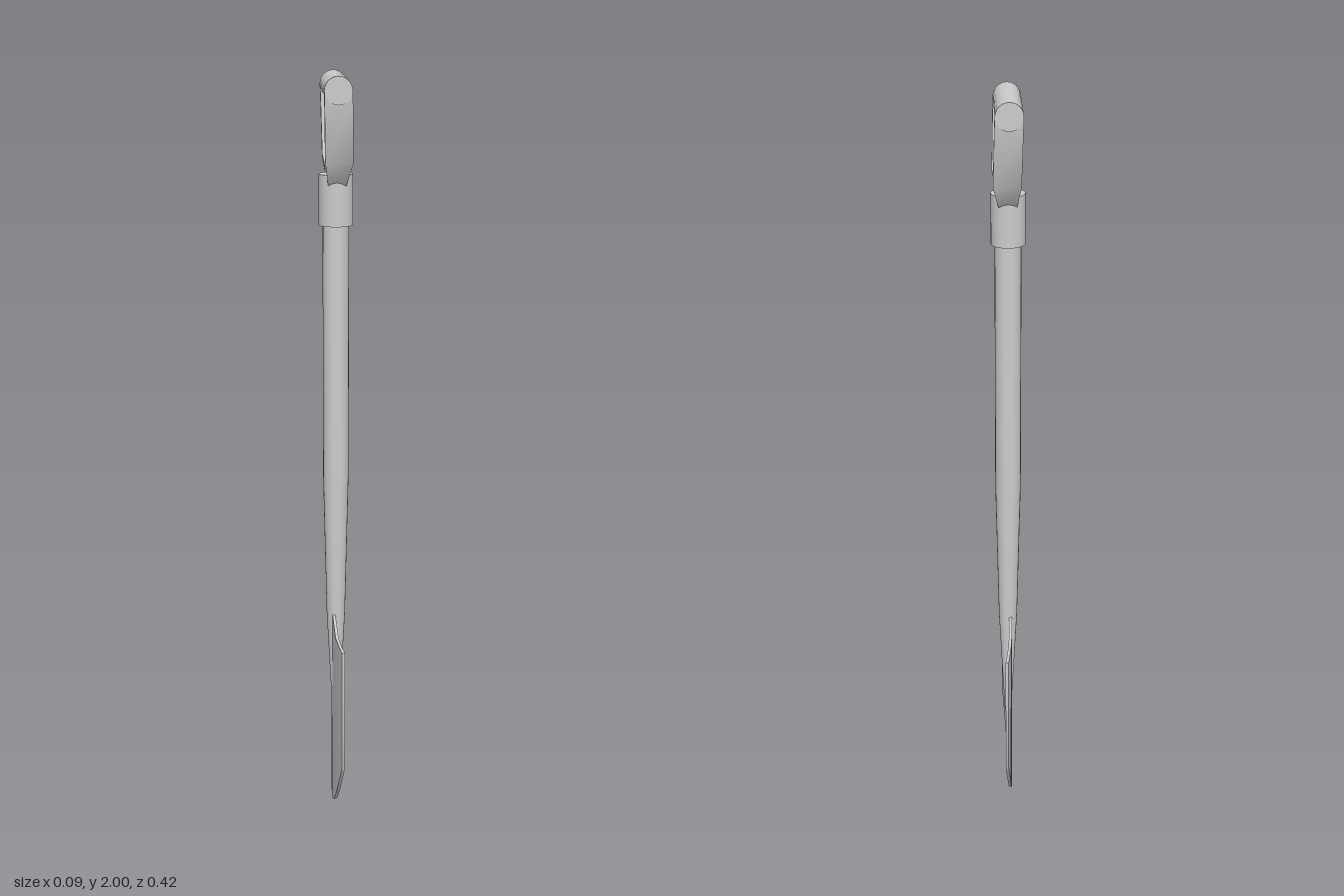
import * as THREE from 'three';
import { toCreasedNormals } from 'three/addons/utils/BufferGeometryUtils.js';

const material = new THREE.MeshStandardMaterial({ color: 0xcccccc });

function addPart(group, name, geometry) {
  const mesh = new THREE.Mesh(geometry, material);
  mesh.name = name;
  group.add(mesh);
  return mesh;
}

// Skin over four-cornered cross-sections, closed at both ends.
// Corners run counter-clockwise around the direction of travel.
function loft(sections) {
  const pos = [];
  const quad = (a, b, c, d) => pos.push(...a, ...b, ...c, ...a, ...c, ...d);
  for (let i = 0; i < sections.length - 1; i++) {
    const s = sections[i], t = sections[i + 1];
    for (let j = 0; j < 4; j++) {
      const k = (j + 1) % 4;
      quad(s[j], s[k], t[k], t[j]);
    }
  }
  quad(...[...sections[0]].reverse());
  quad(...sections[sections.length - 1]);
  const geometry = new THREE.BufferGeometry();
  geometry.setAttribute('position', new THREE.Float32BufferAttribute(pos, 3));
  return toCreasedNormals(geometry, 0.6);
}

// Dished plate with a pointed lower edge and a raised middle on top
function bladeGeometry() {
  const half = 0.21, shoulder = 0.105, thickness = 0.008, steps = 32;
  const sections = [];
  for (let i = 0; i <= steps; i++) {
    const z = half * (2 * i / steps - 1);
    const x = -0.0065 + 0.33 * z * z;
    const bottom = 0.19 * Math.pow(Math.abs(z) / half, 1.72);
    const top = 0.525 + 0.035 * Math.max(0, 1 - (z / shoulder) ** 2);
    const x0 = x - thickness / 2, x1 = x + thickness / 2;
    sections.push([[x0, bottom, z], [x1, bottom, z], [x1, top, z], [x0, top, z]]);
  }
  return loft(sections);
}

// Bent flat arm from the collar to the grip; side is +1 or -1 along z
function armGeometry(side) {
  // inner z, inner y, outer z, outer y, min x, max x
  const profile = [
    [0.0, 1.715, 0.01, 1.69, -0.018, 0.018],
    [0.03, 1.745, 0.035, 1.72, -0.021, 0.024],
    [0.07, 1.79, 0.085, 1.785, -0.031, 0.039],
    [0.095, 1.935, 0.114, 1.935, -0.034, 0.036],
    [0.097, 1.965, 0.117, 1.965, -0.035, 0.035],
  ];
  return loft(profile.map(([zi, yi, zo, yo, x0, x1]) => {
    const corners = [
      [x0, yi, side * zi], [x0, yo, side * zo],
      [x1, yo, side * zo], [x1, yi, side * zi],
    ];
    return side > 0 ? corners : corners.reverse();
  }));
}

export function createModel() {
  const group = new THREE.Group();
  group.name = 'shovel';

  addPart(group, 'blade', bladeGeometry());

  // Straight pole that tapers into the socket lying on the blade
  const outline = [[0, 0.25], [0.009, 0.25], [0.025, 0.56], [0.034, 0.95], [0.034, 1.64], [0, 1.64]];
  const shaft = new THREE.LatheGeometry(outline.map(([r, y]) => new THREE.Vector2(r, y)), 24);
  addPart(group, 'shaft', toCreasedNormals(shaft, 0.6));

  // Collar under the handle
  const collar = addPart(group, 'collar', new THREE.CylinderGeometry(0.044, 0.044, 0.13, 24));
  collar.position.y = 1.685;

  // D-shaped handle
  const handle = new THREE.Group();
  handle.name = 'handle';
  group.add(handle);
  addPart(handle, 'leftArm', armGeometry(1));
  addPart(handle, 'rightArm', armGeometry(-1));
  const grip = addPart(handle, 'grip', new THREE.CylinderGeometry(0.035, 0.035, 0.234, 24));
  grip.rotation.x = Math.PI / 2;
  grip.position.y = 1.965;

  return group;
}
